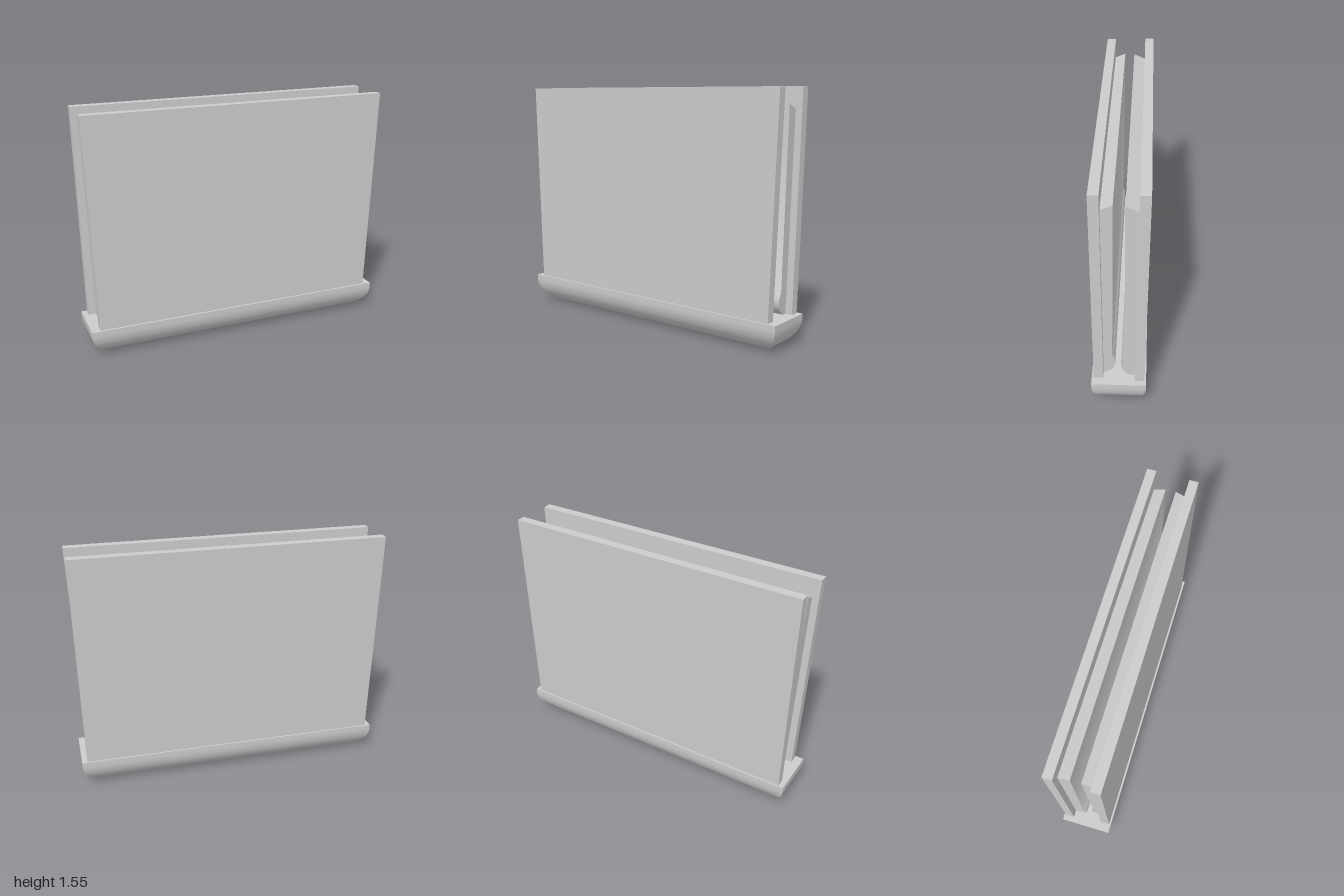
import * as THREE from 'three';
import { toCreasedNormals, mergeVertices } from 'three/addons/utils/BufferGeometryUtils.js';

const BASE_TOP = 0.19, TOP = 1.545;
const material = new THREE.MeshStandardMaterial({ color: 0xcccccc });

function addMesh(group, geometry, name) {
  const mesh = new THREE.Mesh(geometry, material);
  mesh.name = name;
  group.add(mesh);
}

// Runs a (z, y) side profile across x, widening from half-width w0 at the base to w1 at the top
function taperedSlab(shape, w0, w1) {
  const geo = new THREE.ExtrudeGeometry(shape, { depth: 2, bevelEnabled: false, curveSegments: 10 });
  geo.translate(0, 0, -1).rotateY(-Math.PI / 2);
  const p = geo.attributes.position;
  for (let i = 0; i < p.count; i++) {
    const t = (p.getY(i) - BASE_TOP) / (TOP - BASE_TOP);
    p.setX(i, p.getX(i) * THREE.MathUtils.lerp(w0, w1, t));
  }
  return toCreasedNormals(geo, 0.5);
}

const toPoints = (list) => list.map(([z, y]) => new THREE.Vector2(z, y));

// Pad profile: slanted top, long flat face and a rounded lip at the foot
function padShape(outer, top, lip, foot) {
  const shape = new THREE.Shape(toPoints([...outer, top, lip[0]]));
  shape.splineThru(toPoints(lip.slice(1)));
  if (foot) shape.lineTo(...foot);
  shape.closePath();
  return shape;
}

// Tray with a flat top and a rounded underside that meets in mitred corners
function baseGeometry() {
  const r = 0.164, steps = 20, pos = [], index = [];
  const levels = [[1, r, BASE_TOP]];
  for (let i = 0; i <= steps; i++) {
    const a = (i / steps) * Math.PI / 2;
    levels.push([1 - r + r * Math.cos(a), r * Math.cos(a), r - r * Math.sin(a)]);
  }
  for (const [x, z, y] of levels) pos.push(x, y, z, x, y, -z, -x, y, -z, -x, y, z);
  index.push(0, 1, 2, 0, 2, 3);
  for (let i = 0; i < levels.length - 1; i++) {
    for (let j = 0; j < 4; j++) {
      const a = i * 4 + j, b = i * 4 + (j + 1) % 4;
      index.push(a, a + 4, b, b, a + 4, b + 4);
    }
  }
  const geo = new THREE.BufferGeometry();
  geo.setAttribute('position', new THREE.Float32BufferAttribute(pos, 3));
  geo.setIndex(index);
  return toCreasedNormals(mergeVertices(geo), 0.5).translate(0, 0, 0.004);
}

export function createModel() {
  const group = new THREE.Group();
  group.name = 'panelStand';

  addMesh(group, baseGeometry(), 'base');

  // Upright front panel and slightly leaning back panel
  const front = new THREE.Shape(toPoints([[0.098, BASE_TOP], [0.156, BASE_TOP], [0.156, TOP], [0.098, TOP]]));
  const back = new THREE.Shape(toPoints([[-0.15, BASE_TOP], [-0.092, BASE_TOP], [-0.11, 1.55], [-0.168, 1.55]]));
  addMesh(group, taperedSlab(front, 0.945, 0.99), 'frontPanel');
  addMesh(group, taperedSlab(back, 0.965, 0.99), 'backPanel');

  // Inner pads facing each other across the slot
  const frontPad = padShape(
    [[0.098, BASE_TOP], [0.098, 1.425]], [0.03, 1.455],
    [[0.045, 0.34], [0.032, 0.31], [0.027, 0.28], [0.034, 0.245], [0.053, 0.215], [0.09, BASE_TOP]]);
  const backPad = padShape(
    [[-0.095, 0.22], [-0.109, 1.418]], [-0.034, 1.45],
    [[-0.029, 0.335], [-0.014, 0.305], [-0.008, 0.275], [-0.016, 0.24], [-0.036, 0.212], [-0.066, BASE_TOP]],
    [-0.085, BASE_TOP]);
  addMesh(group, taperedSlab(frontPad, 0.90, 0.948), 'frontPad');
  addMesh(group, taperedSlab(backPad, 0.92, 0.948), 'backPad');

  return group;
}
